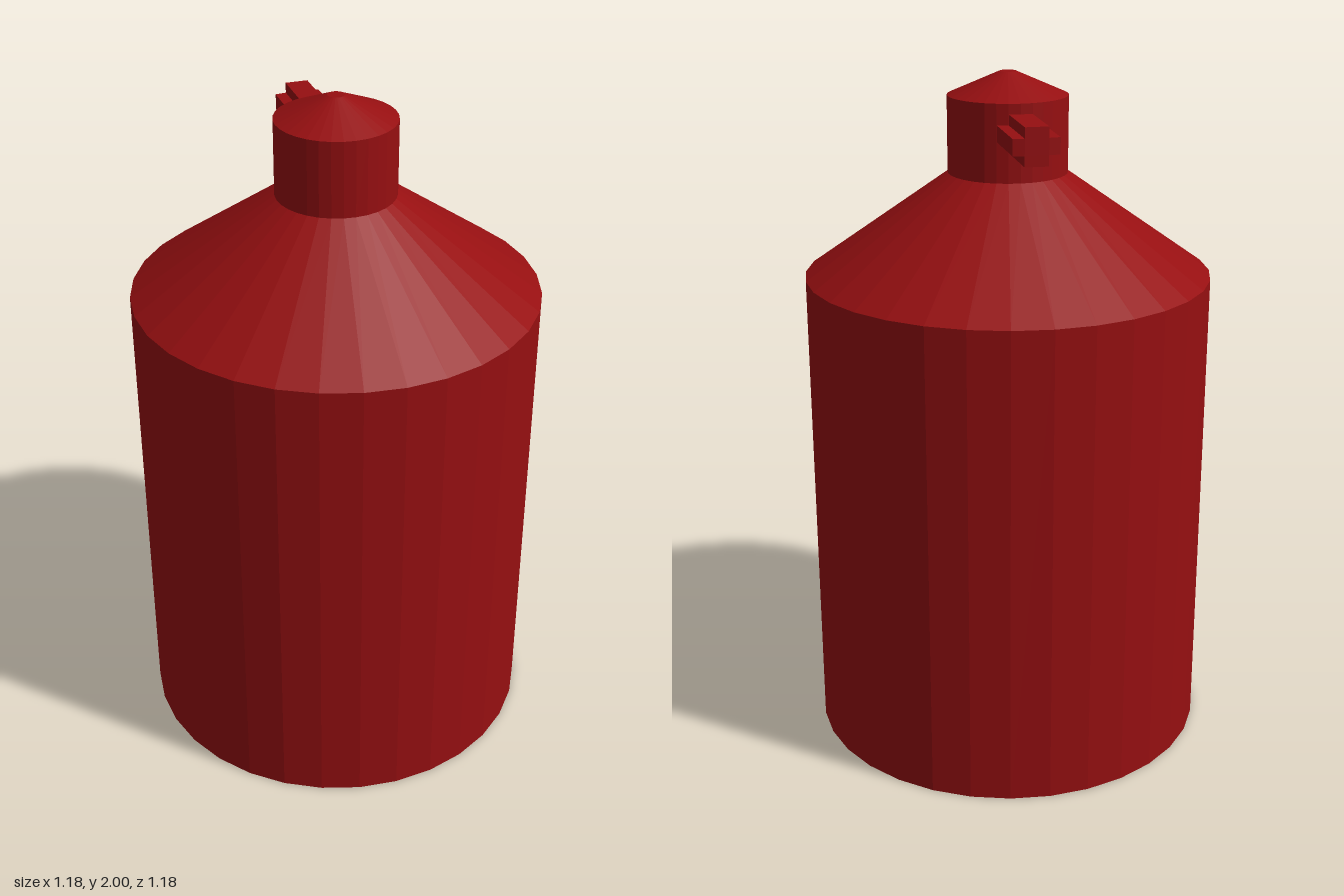
import * as THREE from 'three';

const SIDES = 32;

export function createModel() {
  const model = new THREE.Group();
  model.name = 'pumpBottle';
  const red = new THREE.MeshStandardMaterial({ color: 0x960f11 });
  red.name = 'deepRed';

  function add(name, geometry) {
    // unshared vertices give faceted normals
    const geo = geometry.index ? geometry.toNonIndexed() : geometry;
    geo.computeVertexNormals();
    const mesh = new THREE.Mesh(geo, red);
    mesh.name = name;
    model.add(mesh);
  }

  // turned section between two heights
  function section(name, rTop, rBottom, y0, y1, open) {
    const geo = new THREE.CylinderGeometry(rTop, rBottom, y1 - y0, SIDES, 1, open);
    geo.translate(0, (y0 + y1) / 2, 0);
    add(name, geo);
  }

  section('body', 0.592, 0.592, 0, 1.42, false);
  section('shoulder', 0.173, 0.592, 1.42, 1.715, true);
  section('neck', 0.173, 0.173, 1.715, 1.935, true);
  section('capTop', 0.024, 0.173, 1.935, 2, false);

  // spout: cross-shaped bar pointing back, its end following an arc
  const w = 0.065, h = 0.053, a = 0.033, b = 0.023;
  const cross = new THREE.Shape([
    [-a, -h], [a, -h], [a, -b], [w, -b], [w, b], [a, b],
    [a, h], [-a, h], [-a, b], [-w, b], [-w, -b], [-a, -b],
  ].map(([x, y]) => new THREE.Vector2(x, y)));
  const spout = new THREE.ExtrudeGeometry(cross, { depth: 1, bevelEnabled: false });
  const p = spout.attributes.position;
  for (let i = 0; i < p.count; i++) {
    const radius = p.getZ(i) < 0.5 ? 0.37 : 0.15;
    p.setZ(i, -Math.sqrt(radius * radius - p.getX(i) ** 2));
  }
  spout.translate(0, 1.853, 0);
  add('spout', spout);

  return model;
}
